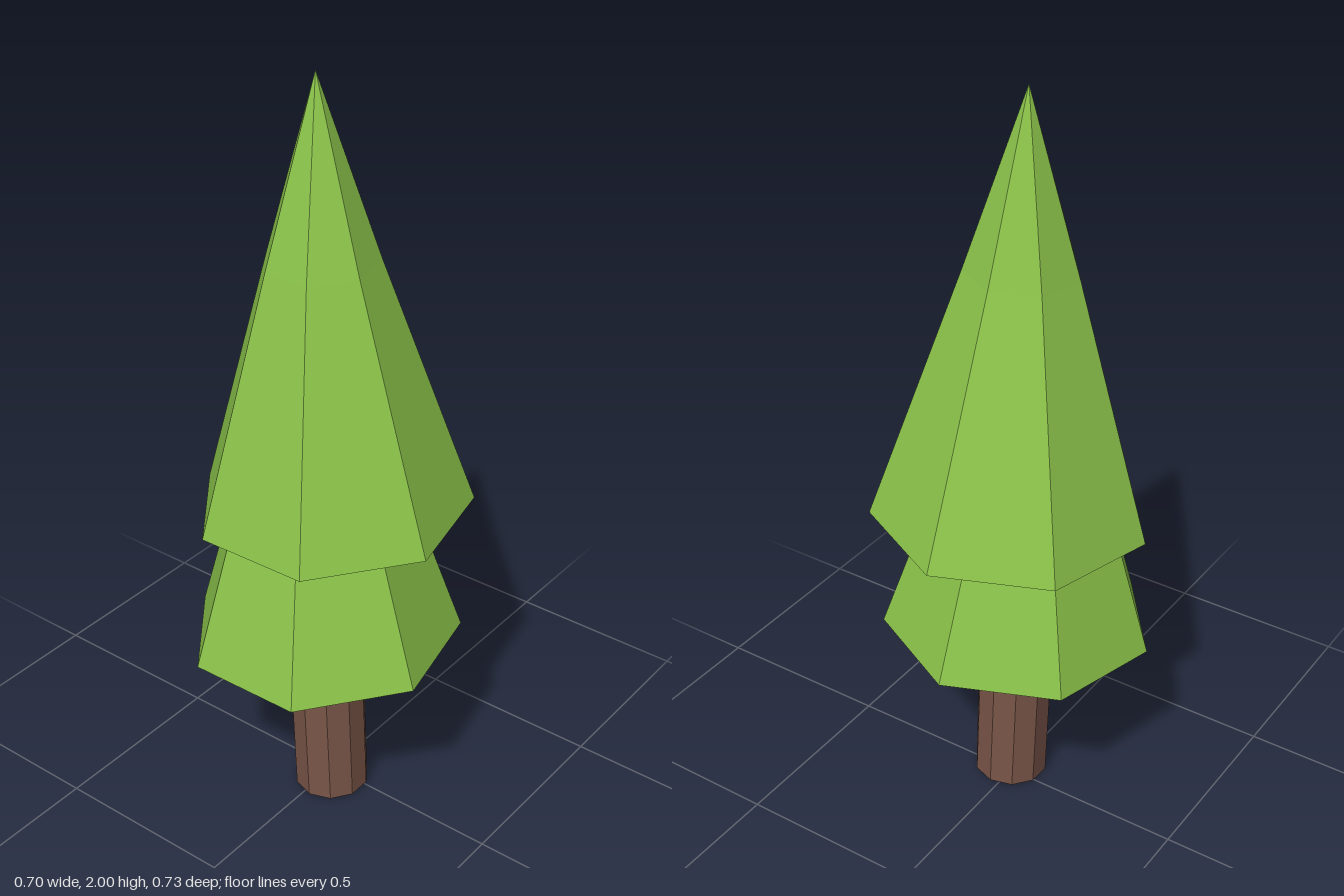
import * as THREE from 'three';

// Closed faceted loft: each ring is [x, y, z, radius], listed from bottom to top.
// The rings lean slightly so they stay square to the tilted tree axis.
function loft(name, rings, sides, color) {
  const spans = rings.length - 1;
  const geo = new THREE.CylinderGeometry(1, 1, spans, sides, spans, false, Math.PI - 0.014);
  const pos = geo.attributes.position;
  for (let i = 0; i < pos.count; i++) {
    const [cx, cy, cz, r] = rings[Math.round(pos.getY(i) + spans / 2)];
    const dx = pos.getX(i) * r;
    const dz = pos.getZ(i) * r;
    pos.setXYZ(i, cx + dx, cy + 0.03 * dx - 0.025 * dz, cz + dz);
  }
  geo.computeVertexNormals();
  const mesh = new THREE.Mesh(geo, new THREE.MeshStandardMaterial({ color, flatShading: true }));
  mesh.name = name;
  return mesh;
}

export function createModel() {
  const tree = new THREE.Group();
  tree.name = 'tree';
  const green = 0x8bc34a;

  // Round trunk running up into the foliage
  tree.add(loft('trunk', [
    [0.02, 0.004, 0.027, 0.1],
    [0, 0.62, 0.036, 0.1],
  ], 10, 0x795548));

  // Lower skirt, its top hidden inside the upper tier
  tree.add(loft('lowerFoliage', [
    [0.002, 0.505, 0.038, 0.358],
    [-0.016, 1.0, 0.042, 0.2],
  ], 7, green));

  // Tall upper tier with a slight bend half way up
  tree.add(loft('upperFoliage', [
    [-0.002, 0.87, -0.005, 0.358],
    [-0.022, 1.54, 0.016, 0.145],
    [-0.038, 2.0, 0.013, 0],
  ], 7, green));

  return tree;
}
